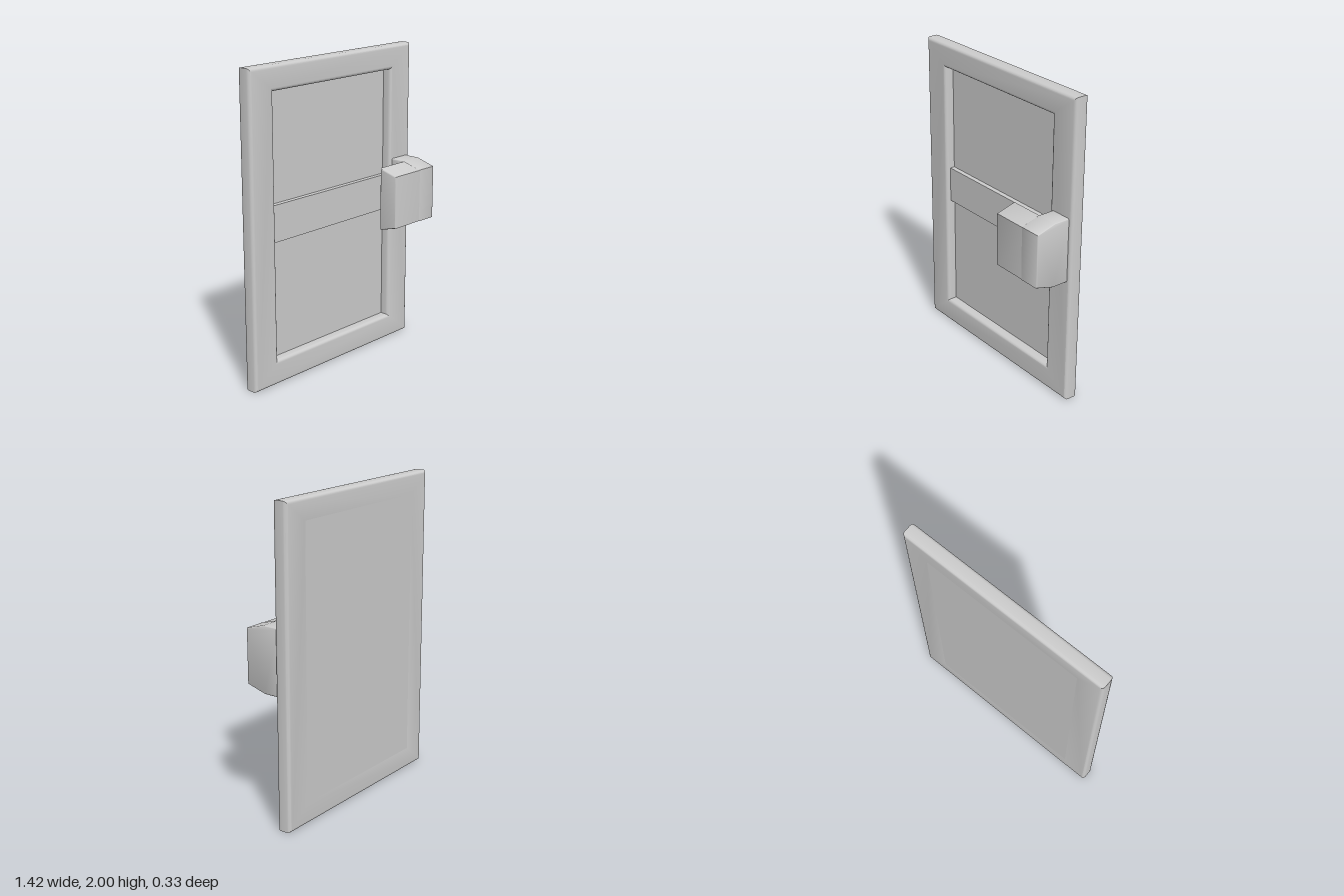
import * as THREE from 'three';
import { toCreasedNormals } from 'three/addons/utils/BufferGeometryUtils.js';

const material = new THREE.MeshStandardMaterial({ color: 0xcccccc });

function addPart(group, name, geometry) {
  const mesh = new THREE.Mesh(geometry, material);
  mesh.name = name;
  group.add(mesh);
}

function rectangle(Type, x0, x1, y0, y1) {
  return new Type([[x0, y0], [x1, y0], [x1, y1], [x0, y1]].map(([x, y]) => new THREE.Vector2(x, y)));
}

// Extrusion with softly rounded edges, filling 0..depth exactly
function softExtrude(shape, depth, bevel) {
  return new THREE.ExtrudeGeometry(shape, {
    depth: depth - 2 * bevel, bevelSize: bevel, bevelThickness: bevel,
    bevelOffset: -bevel, bevelSegments: 4,
  }).translate(0, 0, bevel);
}

function box(x0, x1, y0, y1, z0, z1) {
  return new THREE.BoxGeometry(x1 - x0, y1 - y0, z1 - z0)
    .translate((x0 + x1) / 2, (y0 + y1) / 2, (z0 + z1) / 2);
}

// Side profile (z, y) extruded along x
function profileAlongX(points, x0, x1, bevel) {
  const shape = new THREE.Shape(points.map(([z, y]) => new THREE.Vector2(-z, y)));
  const geometry = softExtrude(shape, x1 - x0, bevel).rotateY(Math.PI / 2).translate(x0, 0, 0);
  return toCreasedNormals(geometry, 0.6);
}

export function createModel() {
  const group = new THREE.Group();
  group.name = 'door';
  const back = -0.165, front = -0.07, bevel = 0.022;
  const hole = [-0.52, 0.515, 0.16, 1.845];

  // Frame with a rounded outer rim and opening
  const frame = rectangle(THREE.Shape, -0.71, 0.708, 0, 2);
  frame.holes.push(rectangle(THREE.Path, ...hole));
  addPart(group, 'frame', toCreasedNormals(
    softExtrude(frame, front - back, bevel).translate(0, 0, back), 0.6));

  // Recessed panel, flush with the back of the frame
  const [x0, x1, y0, y1] = hole;
  addPart(group, 'panel', box(x0 - bevel, x1 + bevel, y0 - bevel, y1 + bevel, back, -0.132));

  // Cross bar over the recess
  addPart(group, 'crossBar', box(x0 - 0.01, x1 + 0.01, 0.915, 1.15, -0.14, -0.1));

  // Handle: post standing on the frame, with an arm reaching inwards
  const post = [[-0.085, 0.835], [0.035, 0.835], [0.165, 0.872], [0.165, 1.218], [0.035, 1.255], [-0.085, 1.255]];
  const arm = [[0.032, 0.838], [0.164, 0.874], [0.164, 1.216], [0.032, 1.252]];
  addPart(group, 'handlePost', profileAlongX(post, 0.537, 0.684, 0.01));
  addPart(group, 'handleArm', profileAlongX(arm, 0.305, 0.66, 0.01));
  return group;
}
